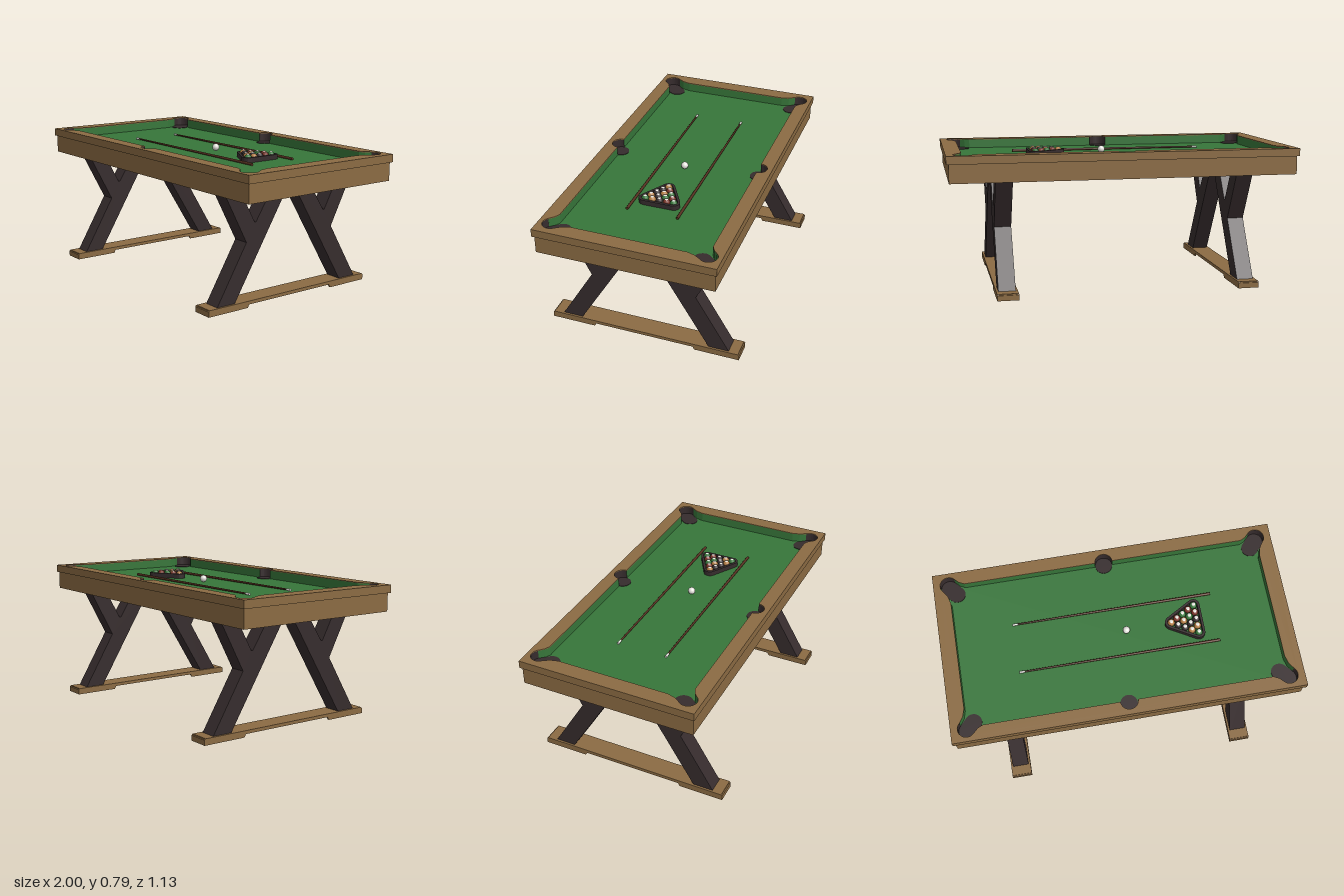
import * as THREE from 'three';

const mat = (name, color, side = THREE.FrontSide) => {
  const m = new THREE.MeshStandardMaterial({ color, side });
  m.name = name;
  return m;
};

export function createModel() {
  const wood = mat('wood', 0x8b6b43);
  const dark = mat('darkWood', 0x362c2d, THREE.DoubleSide);
  const felt = mat('feltGreen', 0x37763a, THREE.DoubleSide);
  const cueBrown = mat('cueBrown', 0x54301f);
  const white = mat('white', 0xe6e4de);
  const red = mat('ballRed', 0x7a3428);
  const tan = mat('ballTan', 0xb27c42);

  const model = new THREE.Group();
  model.name = 'poolTable';
  const add = (name, geo, material, parent = model) => {
    const m = new THREE.Mesh(geo, material);
    m.name = name;
    parent.add(m);
    return m;
  };
  const V = (x, y) => new THREE.Vector2(x, y);
  const rect = (x, z) => [V(-x, -z), V(x, -z), V(x, z), V(-x, z)];

  // Horizontal slab from a plan outline in (x, z), hanging down from yTop
  const slab = (shape, yTop, depth) =>
    new THREE.ExtrudeGeometry(shape, { depth, bevelEnabled: false, curveSegments: 10 })
      .rotateX(Math.PI / 2).translate(0, yTop, 0);
  const ring = (outer, inner) => {
    const s = new THREE.Shape(outer);
    s.holes.push(new THREE.Path(inner));
    return s;
  };
  // Vertical plate from a side profile in (z, y), centred on x
  const sidePlate = (points, width, x) =>
    new THREE.ExtrudeGeometry(new THREE.Shape(points), { depth: width, bevelEnabled: false })
      .rotateY(-Math.PI / 2).translate(x + width / 2, 0, 0);
  // Upright wall following a plan polyline
  const wall = (points, y0, y1) => {
    const pos = [], idx = [];
    points.forEach((p, i) => {
      pos.push(p.x, y0, p.y, p.x, y1, p.y);
      if (i) idx.push(2 * i - 2, 2 * i - 1, 2 * i, 2 * i - 1, 2 * i + 1, 2 * i);
    });
    const g = new THREE.BufferGeometry();
    g.setAttribute('position', new THREE.Float32BufferAttribute(pos, 3));
    g.setIndex(idx);
    const flat = g.toNonIndexed();
    flat.computeVertexNormals();
    return flat;
  };
  const arc = (cx, cz, r, a0, a1, n = 14) => Array.from({ length: n + 1 }, (_, i) => {
    const a = a0 + (a1 - a0) * i / n;
    return V(cx + r * Math.cos(a), cz + r * Math.sin(a));
  });

  const PI = Math.PI, R = 0.05, feltY = 0.735, topY = 0.79;

  // Inner outline of the rails, one quadrant: cushion and pocket runs
  const runs = [
    { name: 'sidePocketCup', m: dark, p: arc(0, 0.43, R, PI / 2, 0, 8) },
    { name: 'longCushion', m: felt, p: [V(R, 0.43), V(0.82, 0.43), V(0.85, 0.445), V(0.875, 0.47)] },
    { name: 'cornerPocketCup', m: dark, p: arc(0.91, 0.435, R, PI * 0.75, -PI / 4) },
    { name: 'shortCushion', m: felt, p: [V(0.945, 0.4), V(0.922, 0.365), V(0.91, 0.32), V(0.91, 0)] },
  ];
  const quarter = runs.flatMap(r => r.p);
  const flip = (pts, sx, sz) => pts.map(p => V(p.x * sx, p.y * sz));
  const outline = [
    ...quarter, ...flip(quarter, 1, -1).reverse(),
    ...flip(quarter, -1, -1), ...flip(quarter, -1, 1).reverse(),
  ].filter((p, i, a) => p.distanceTo(a[(i + 1) % a.length]) > 1e-5);

  // Table body
  add('railTop', slab(ring(rect(1, 0.51), outline), topY, 0.005), wood);
  add('railFrame', slab(ring(rect(1, 0.51), rect(0.97, 0.49)), topY - 0.005, 0.04), wood);
  add('apron', slab(ring(rect(0.987, 0.5), rect(0.97, 0.49)), 0.745, 0.105), wood);
  add('bed', slab(new THREE.Shape(rect(0.97, 0.49)), 0.73, 0.09), wood);
  add('feltCloth', slab(new THREE.Shape(rect(0.97, 0.49)), feltY, 0.005), felt);

  for (const sx of [-1, 1]) for (const sz of [-1, 1]) {
    for (const r of runs) add(r.name, wall(flip(r.p, sx, sz), feltY, topY - 0.004), r.m);
    // Corner pocket floor: a capsule along the diagonal
    const capsule = [
      ...arc(0.91, 0.435, R - 0.001, -PI / 4, PI * 0.75),
      ...arc(0.873, 0.393, R - 0.001, PI * 0.75, PI * 1.75),
    ];
    add('cornerPocket', slab(new THREE.Shape(flip(capsule, sx, sz)), feltY + 0.003, 0.003), dark);
  }
  for (const sz of [-1, 1]) {
    add('sidePocket', new THREE.CylinderGeometry(R - 0.001, R - 0.001, 0.003, 28), dark)
      .position.set(0, feltY + 0.0015, 0.43 * sz);
  }

  // Y-shaped legs and hollow feet
  const legProfile = [V(0.4, 0.012), V(0.518, 0.012), V(0.308, 0.362), V(0.454, 0.64),
    V(0.347, 0.64), V(0.253, 0.466), V(0.244, 0.466), V(0.136, 0.635), V(0.021, 0.635)];
  const footProfile = [V(-0.567, 0), V(-0.305, 0), V(-0.295, 0.018), V(0.295, 0.018),
    V(0.305, 0), V(0.567, 0), V(0.567, 0.03), V(0.56, 0.037), V(-0.56, 0.037), V(-0.567, 0.03)];
  for (const sx of [-1, 1]) {
    const x = 0.688 * sx;
    const foot = new THREE.Group();
    foot.name = 'foot';
    model.add(foot);
    for (const e of [-1, 1]) {
      add('leg', sidePlate(flip(legProfile, e, 1), 0.096, x), dark);
      add('footSide', sidePlate(footProfile, 0.01, x + e * 0.055), wood, foot);
      add('footEnd', new THREE.BoxGeometry(0.1, 0.03, 0.01), wood, foot)
        .position.set(x, 0.015, e * 0.562);
    }
    add('footDeck', new THREE.BoxGeometry(0.1, 0.01, 1.12), wood, foot).position.set(x, 0.032, 0);
  }

  // Cues lying on the cloth, tips towards -x
  for (const sz of [-1, 1]) {
    const cue = new THREE.Group();
    cue.name = 'cue';
    add('cueShaft', new THREE.CylinderGeometry(0.005, 0.008, 1.13, 12), cueBrown, cue).position.y = -0.015;
    add('cueTip', new THREE.CylinderGeometry(0.0065, 0.0065, 0.03, 12), white, cue).position.y = 0.565;
    cue.rotation.z = PI / 2;
    cue.position.set(0, feltY + 0.008, 0.146 * sz);
    model.add(cue);
  }

  // Balls
  const r = 0.021;
  add('cueBall', new THREE.SphereGeometry(r, 20, 14), white).position.set(0.06, feltY + r, 0);
  const colours = [tan, red, dark, felt, tan, dark, red, felt, dark, tan, felt, red, dark, tan, felt];
  let n = 0;
  for (let row = 0; row < 5; row++) for (let i = 0; i <= row; i++) {
    const ball = new THREE.Group();
    ball.name = 'ball';
    add('ballBody', new THREE.SphereGeometry(r, 16, 12), colours[n++], ball);
    add('ballSpot', new THREE.SphereGeometry(r + 0.0006, 12, 4, 0, PI * 2, 0, 0.5), white, ball);
    ball.position.set(0.322 + row * 0.0364, feltY + r, (i - row / 2) * 0.042);
    model.add(ball);
  }

  // Triangular rack with rounded corners
  const triangle = rad => [
    ...arc(0.322, 0, rad, PI * 2 / 3, PI * 4 / 3, 6),
    ...arc(0.468, -0.084, rad, PI * 4 / 3, PI * 2, 6),
    ...arc(0.468, 0.084, rad, 0, PI * 2 / 3, 6),
  ];
  add('rack', slab(ring(triangle(0.036), triangle(0.022)), feltY + 0.028, 0.028), dark);

  return model;
}
